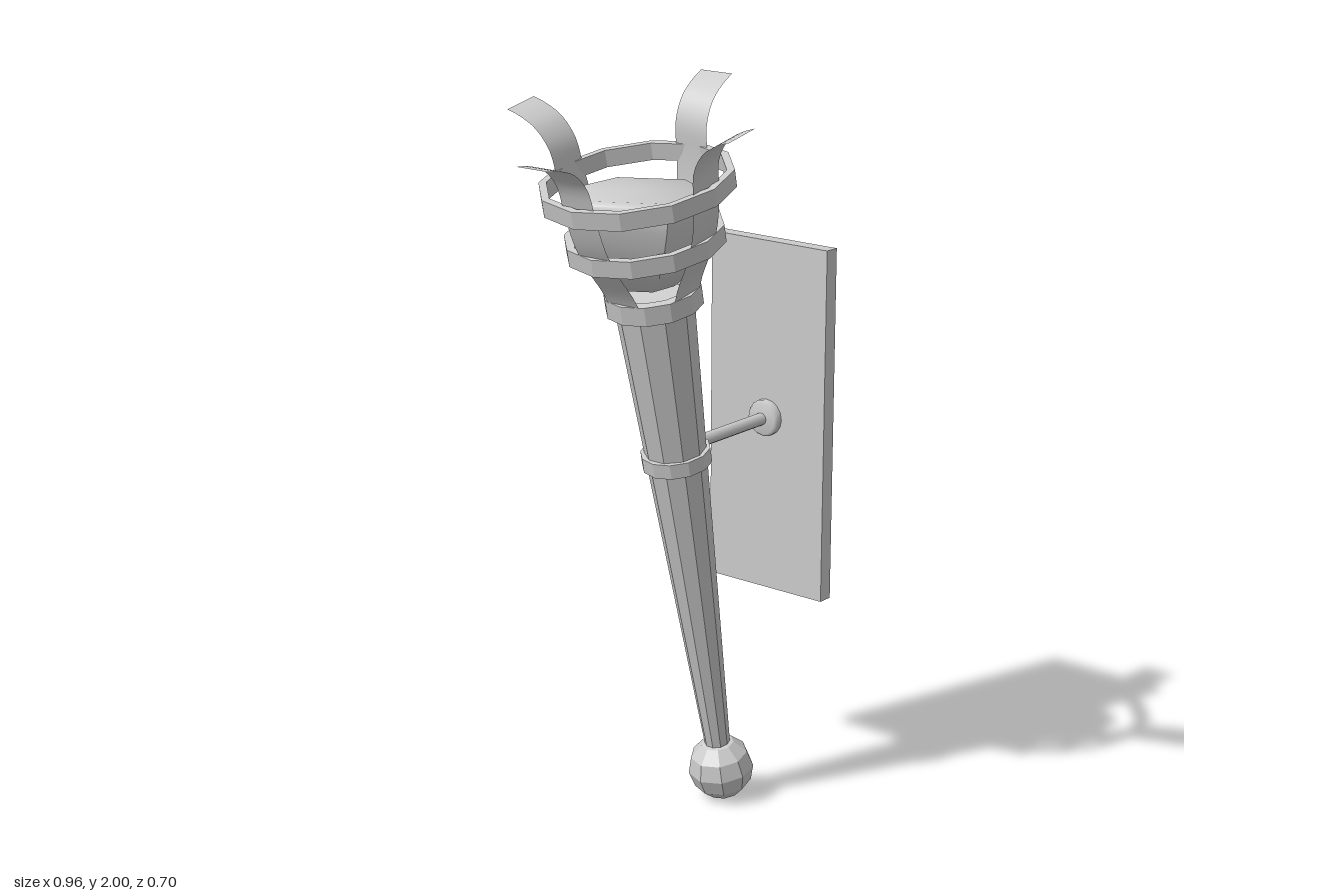
import * as THREE from 'three';
import { toCreasedNormals } from 'three/addons/utils/BufferGeometryUtils.js';

const TILT = 0.205; // lean of the torch away from the wall plate

export function createModel() {
  const model = new THREE.Group();
  const flat = new THREE.MeshStandardMaterial({ color: 0xcccccc, flatShading: true });
  const smooth = new THREE.MeshStandardMaterial({ color: 0xcccccc });
  const thin = new THREE.MeshStandardMaterial({ color: 0xcccccc, side: THREE.DoubleSide });

  const add = (parent, name, geometry, material) => {
    const mesh = new THREE.Mesh(geometry, material);
    mesh.name = name;
    parent.add(mesh);
    return mesh;
  };
  const profile = (pairs) => pairs.map(([r, y]) => new THREE.Vector2(r, y));

  // Torch, built upright from the centre of its end ball, then tilted
  const torch = new THREE.Group();
  torch.name = 'torch';
  torch.position.set(0.248, 0.09, 0);
  torch.rotation.z = TILT;
  model.add(torch);

  add(torch, 'endBall', new THREE.SphereGeometry(0.09, 9, 6), flat);
  add(torch, 'handle', new THREE.CylinderGeometry(0.103, 0.033, 1.35, 10), flat).position.y = 0.725;

  // Square-section rings: collars on the handle and hoops of the basket
  const ring = (name, inner, outer, y, height, sides) => {
    const h = height / 2;
    const section = profile([[inner, -h], [outer, -h], [outer, h], [inner, h], [inner, -h]]);
    add(torch, name, new THREE.LatheGeometry(section, sides, Math.PI / 2), flat).position.y = y;
  };
  ring('middleCollar', 0.07, 0.092, 0.955, 0.04, 12);
  ring('topCollar', 0.095, 0.126, 1.404, 0.05, 12);
  ring('lowerHoop', 0.182, 0.203, 1.563, 0.045, 12);
  ring('upperHoop', 0.226, 0.246, 1.705, 0.045, 12);

  // Four flared straps, each a flat band following one curve
  const strapCurve = new THREE.SplineCurve(profile([
    [0.105, 1.4], [0.127, 1.461], [0.17, 1.54], [0.2, 1.615], [0.217, 1.7],
    [0.228, 1.778], [0.263, 1.833], [0.31, 1.862], [0.352, 1.876],
  ]));
  const strap = new THREE.PlaneGeometry(0.1, 1, 1, 24);
  const p = strap.attributes.position;
  for (let i = 0; i < p.count; i++) {
    const point = strapCurve.getPoint(p.getY(i) + 0.5);
    p.setXYZ(i, p.getX(i), point.y, point.x);
  }
  strap.computeVertexNormals();
  for (let i = 0; i < 4; i++) {
    add(torch, 'strap', strap, thin).rotation.y = (i * Math.PI) / 2;
  }

  // Six-sided fuel bowl resting level inside the basket
  const bowl = new THREE.LatheGeometry(profile([
    [0, 1.5], [0.085, 1.505], [0.13, 1.55], [0.163, 1.61], [0.183, 1.67],
    [0.192, 1.715], [0.187, 1.733], [0.172, 1.743], [0, 1.746],
  ]), 6, Math.PI / 2);
  add(model, 'fuelBowl', toCreasedNormals(bowl, 0.8), smooth).position.x = -0.085;

  // Wall bracket: rod and rounded flange
  const rod = add(model, 'bracketRod', new THREE.CylinderGeometry(0.017, 0.017, 0.31, 10), smooth);
  rod.rotation.z = -Math.PI / 2;
  rod.position.set(0.265, 1.043, 0);
  const flange = add(model, 'flange', new THREE.LatheGeometry(profile([
    [0.05, 0], [0.05, 0.013], [0.043, 0.023], [0, 0.025],
  ]), 16), thin);
  flange.rotation.z = Math.PI / 2;
  flange.position.set(0.435, 1.043, 0);

  // Wall plate: a shallow tray, open towards the wall
  const plate = new THREE.Group();
  plate.name = 'wallPlate';
  plate.position.set(0.456, 1.043, 0);
  model.add(plate);
  const depth = 0.042, height = 0.966, width = 0.38;
  const face = add(plate, 'plateFace', new THREE.PlaneGeometry(width, height), thin);
  face.rotation.y = -Math.PI / 2;
  face.position.x = -depth / 2;
  for (const s of [-1, 1]) {
    add(plate, 'plateSide', new THREE.PlaneGeometry(depth, height), thin).position.z = (s * width) / 2;
    const edge = add(plate, 'plateEnd', new THREE.PlaneGeometry(depth, width), thin);
    edge.rotation.x = -Math.PI / 2;
    edge.position.y = (s * height) / 2;
  }
  return model;
}
